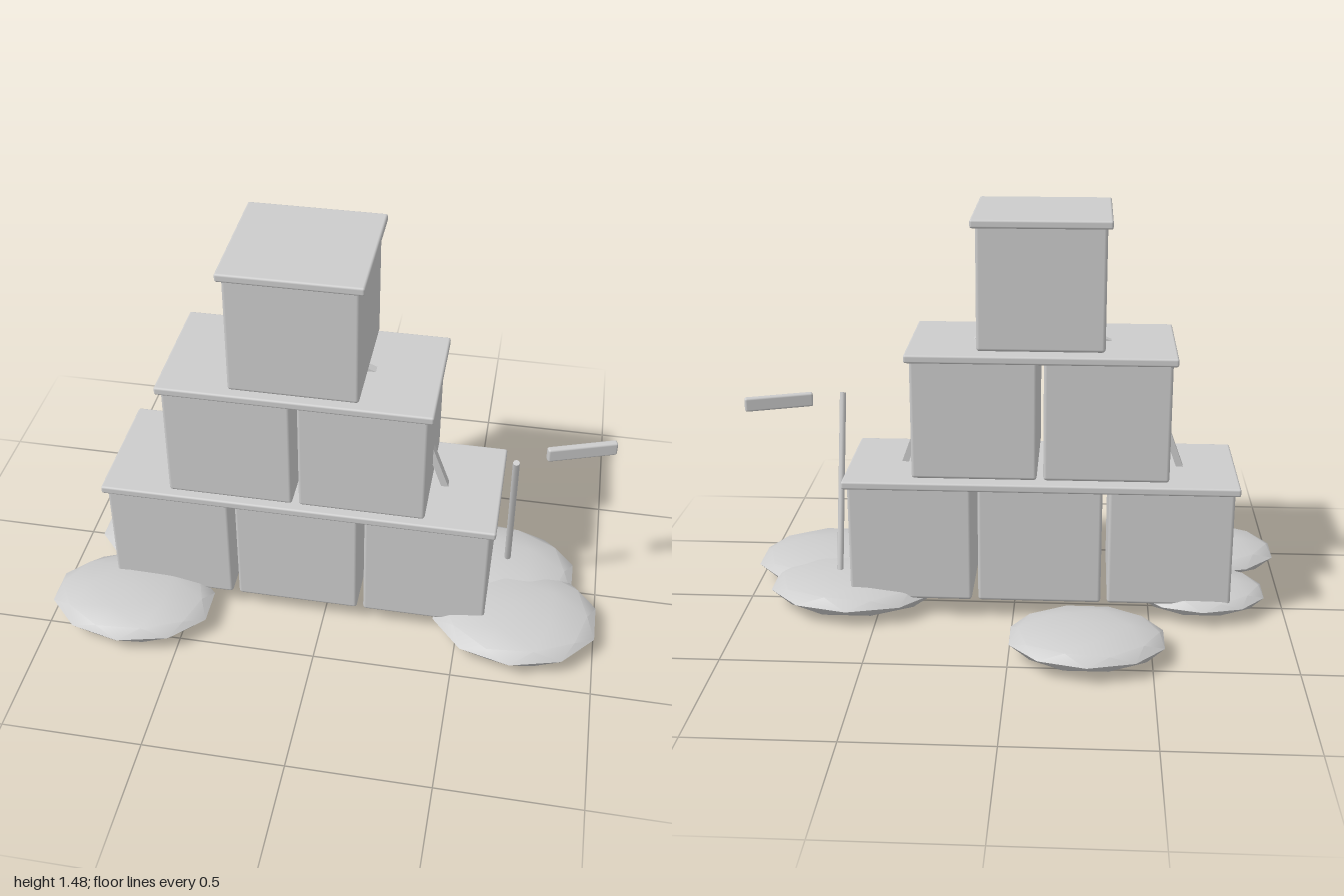
import * as THREE from 'three';
import { RoundedBoxGeometry } from 'three/addons/geometries/RoundedBoxGeometry.js';
import { toCreasedNormals } from 'three/addons/utils/BufferGeometryUtils.js';

const grey = new THREE.MeshStandardMaterial({ color: 0xcccccc });
grey.name = 'plain grey';

const MID_X = -0.097; // symmetry line of the stack
const MID_Z = 0.08;

function add(parent, name, geometry, x, y, z) {
  const mesh = new THREE.Mesh(geometry, grey);
  mesh.name = name;
  mesh.position.set(x, y, z);
  parent.add(mesh);
  return mesh;
}

// Straight piece running from a to b along its local y axis
function span(parent, name, a, b, makeGeometry) {
  const dir = b.clone().sub(a);
  const mid = a.clone().add(b).multiplyScalar(0.5);
  const mesh = add(parent, name, makeGeometry(dir.length()), mid.x, mid.y, mid.z);
  mesh.quaternion.setFromUnitVectors(new THREE.Vector3(0, 1, 0), dir.normalize());
  return mesh;
}

// Flattened low-poly boulder with a ten-sided rim
function rockGeometry(rx, ry, rz) {
  const g = new THREE.IcosahedronGeometry(1, 1);
  g.rotateZ(Math.atan(2 / (1 + Math.sqrt(5)))); // put a corner on top
  g.scale(rx, ry, rz);
  return toCreasedNormals(g, 0.6);
}

export function createModel() {
  const model = new THREE.Group();
  model.name = 'crateStack';

  // Three rows of crates, each row under one shared lid
  const size = 0.447, pitch = 0.47;
  for (let row = 0; row < 3; row++) {
    const group = new THREE.Group();
    group.name = 'crateRow' + (row + 1);
    model.add(group);
    const count = 3 - row;
    const base = 0.08 + row * 0.473;
    for (let i = 0; i < count; i++) {
      const x = MID_X + (i - (count - 1) / 2) * pitch;
      add(group, 'crate', new RoundedBoxGeometry(size, size, size, 2, 0.012), x, base + size / 2, MID_Z);
    }
    const lidWidth = (count - 1) * pitch + 0.482;
    add(group, 'lid', new RoundedBoxGeometry(lidWidth, 0.03, 0.48, 2, 0.008), MID_X, base + 0.446, MID_Z);
  }

  // Slanting struts at both ends of the upper rows
  for (const side of [-1, 1]) {
    const at = (dx, y) => new THREE.Vector3(MID_X + side * dx, y, MID_Z);
    const bar = (len) => new THREE.BoxGeometry(0.024, len, 0.032);
    span(model, 'lowerStrut', at(0.517, 0.51), at(0.44, 0.72), bar);
    span(model, 'upperStrut', at(0.25, 1.0), at(0.14, 1.045), bar);
  }

  // Leaning pole and the loose bar beside it
  span(model, 'pole', new THREE.Vector3(0.656, 0.09, -0.027), new THREE.Vector3(0.656, 0.765, 0.192),
    (len) => new THREE.CylinderGeometry(0.012, 0.012, len, 8));
  const bar = add(model, 'looseBar', new RoundedBoxGeometry(0.25, 0.052, 0.026, 2, 0.008), 0.875, 0.76, 0.08);
  bar.rotation.y = 0.34;

  // Boulders around the foot: x, y, z, then the three radii
  const rocks = [
    [-0.272, 0.072, -0.397, 0.282, 0.061, 0.222],
    [-0.705, 0.071, 0.383, 0.308, 0.062, 0.228],
    [-0.69, 0.07, 0.012, 0.246, 0.052, 0.196],
    [0.6, 0.071, 0.0, 0.322, 0.066, 0.25],
    [0.705, 0.073, 0.222, 0.31, 0.063, 0.258],
  ];
  for (const [x, y, z, rx, ry, rz] of rocks) {
    add(model, 'rock', rockGeometry(rx, ry, rz), x, y, z);
  }

  return model;
}
